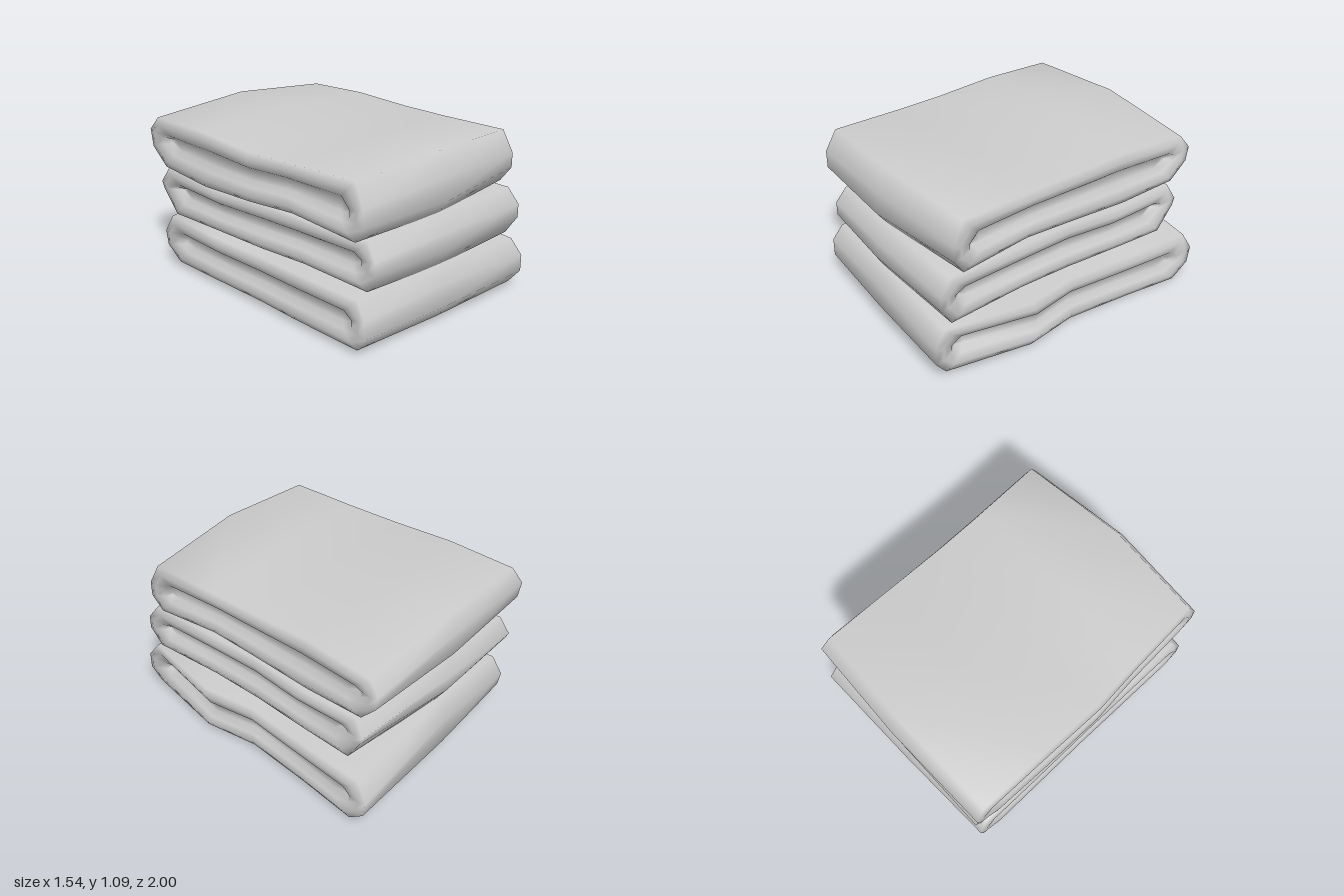
import * as THREE from 'three';

// Per towel: z of the front and back folds with the heights of their two bends, top and bottom
// heights from front to back, x of both ends and how far the top falls there (front to back),
// skew of the fold edges at [-x end, middle, +x end], and droop of the +x back corner.
const towels = [
  {
    name: 'bottomTowel', front: 1, back: -0.98, frontBends: [0.12, 0.27], backBends: [0.12, 0.33],
    top: [0.37, 0.37, 0.375, 0.4, 0.45], bottom: [0.025, 0.02, 0.025, 0.02, 0.018],
    left: [-0.72, -0.72, -0.73], right: [0.66, 0.755, 0.7, 0.73, 0.77],
    leftFall: [0.02, 0.03, 0.09], rightFall: [0.03, 0.055, 0.12],
    frontSkew: [-0.09, -0.04, 0], backSkew: [0.03, 0, 0], droop: 0.03,
  },
  {
    name: 'middleTowel', front: 0.95, back: -0.97, frontBends: [0.48, 0.6], backBends: [0.53, 0.65],
    top: [0.7, 0.7, 0.71, 0.71, 0.76], bottom: [0.36, 0.38, 0.375, 0.37, 0.365],
    left: [-0.63, -0.69, -0.72], right: [0.66, 0.65, 0.65, 0.67, 0.68],
    leftFall: [0.02, 0.025, 0.06], rightFall: [0.02, 0.02, 0.06],
    frontSkew: [-0.05, 0, 0], backSkew: [0, 0, 0.1], droop: 0,
  },
  {
    name: 'topTowel', front: 0.93, back: -1, frontBends: [0.79, 0.94], backBends: [0.83, 1],
    top: [1.08, 1.06, 1.045, 1.085, 1.088], bottom: [0.69, 0.73, 0.71, 0.685, 0.71],
    left: [-0.72, -0.775, -0.77], right: [0.68, 0.665, 0.66, 0.66, 0.675],
    leftFall: [0.025, 0.01, 0.035], rightFall: [0.04, 0.01, 0.065],
    frontSkew: [-0.04, 0, -0.07], backSkew: [0.015, 0, 0.035], droop: 0,
  },
];

// Rings of one end, from slot floor out to the body: inward offset, height scale, depth scale
const endRings = [[0.055, 0.2, 0.84], [0.015, 0.4, 0.88], [0, 0.72, 0.95], [0.02, 1, 1]];
const N = 14;

// Value at depth 0 (front) to 4 (back) along a list of any length
function along(list, depth) {
  const f = (depth / 4) * (list.length - 1);
  const i = Math.min(Math.floor(f), list.length - 2);
  return THREE.MathUtils.lerp(list[i], list[i + 1], f - i);
}

// Outline points {z, y, depth, isTop, isFold}: front fold, top, back fold, bottom
function outline(t) {
  const zTop = [t.front - 0.075, 0.36, 0, -0.45, t.back + 0.07];
  const zBottom = [t.front - 0.075, 0.36, 0, -0.45, t.back + 0.13];
  const top = t.top.map((y, d) => ({ z: zTop[d], y, depth: d, isTop: true }));
  const bottom = t.bottom.map((y, d) => ({ z: zBottom[d], y, depth: d, isTop: false }));
  const fold = (z, y, depth, isTop) => ({ z, y, depth, isTop, isFold: true });
  return [
    fold(t.front, t.frontBends[0], 0, false), fold(t.front, t.frontBends[1], 0, true),
    ...top,
    fold(t.back, t.backBends[1], 4, true), fold(t.back + 0.02, t.backBends[0], 4, false),
    ...bottom.reverse(),
  ];
}

function foldedTowel(t) {
  const points = outline(t);
  const stations = [
    ...endRings.map((r) => [0, ...r]),
    [1, 0, 1, 1],
    ...endRings.slice().reverse().map((r) => [2, ...r]),
  ];
  const pos = [], index = [];

  for (const [side, inset, sy, sz] of stations) {
    const fall = [t.leftFall, [0, 0], t.rightFall][side];
    const rise = [[0.01, 0.02], [0, 0], [0.01, 0.01 - t.droop]][side];
    const ends = [t.left, [-0.04, -0.04], t.right][side];
    const inward = [1, 0, -1][side];
    // outline at this station, skewed and with softened ends
    const ring = points.map(({ z, y, depth, isTop }) => {
      const skew = z > 0 ? t.frontSkew[side] : t.backSkew[side];
      return [z + skew * Math.abs(z), y + (isTop ? -along(fall, depth) : along(rise, depth))];
    });
    const zMid = (ring[0][0] + ring[8][0]) / 2;
    ring.forEach(([z, y], j) => {
      const yMid = (y + ring[(15 - j) % N][1]) / 2;
      // the body's end stays nearly square at the front and back folds
      const off = sy === 1 && points[j].isFold ? inset * 0.2 : inset;
      pos.push(along(ends, points[j].depth) + inward * off, yMid + (y - yMid) * sy, zMid + (z - zMid) * sz);
    });
  }

  // skin between neighbouring rings
  for (let i = 0; i < stations.length - 1; i++) {
    for (let j = 0; j < N; j++) {
      const a = i * N + j, b = i * N + ((j + 1) % N), c = b + N, d = a + N;
      index.push(a, d, c, a, c, b);
    }
  }
  // slot floors
  const last = (stations.length - 1) * N;
  for (let j = 1; j < 7; j++) {
    const a = j, b = j + 1, c = 14 - j, d = (15 - j) % N;
    index.push(a, b, c, a, c, d);
    index.push(last + a, last + c, last + b, last + a, last + d, last + c);
  }

  const g = new THREE.BufferGeometry();
  g.setAttribute('position', new THREE.Float32BufferAttribute(pos, 3));
  g.setIndex(index);
  g.computeVertexNormals();
  return g;
}

export function createModel() {
  const group = new THREE.Group();
  group.name = 'towelStack';
  const material = new THREE.MeshStandardMaterial({ color: 0xcccccc });
  for (const t of towels) {
    const mesh = new THREE.Mesh(foldedTowel(t), material);
    mesh.name = t.name;
    group.add(mesh);
  }
  return group;
}
